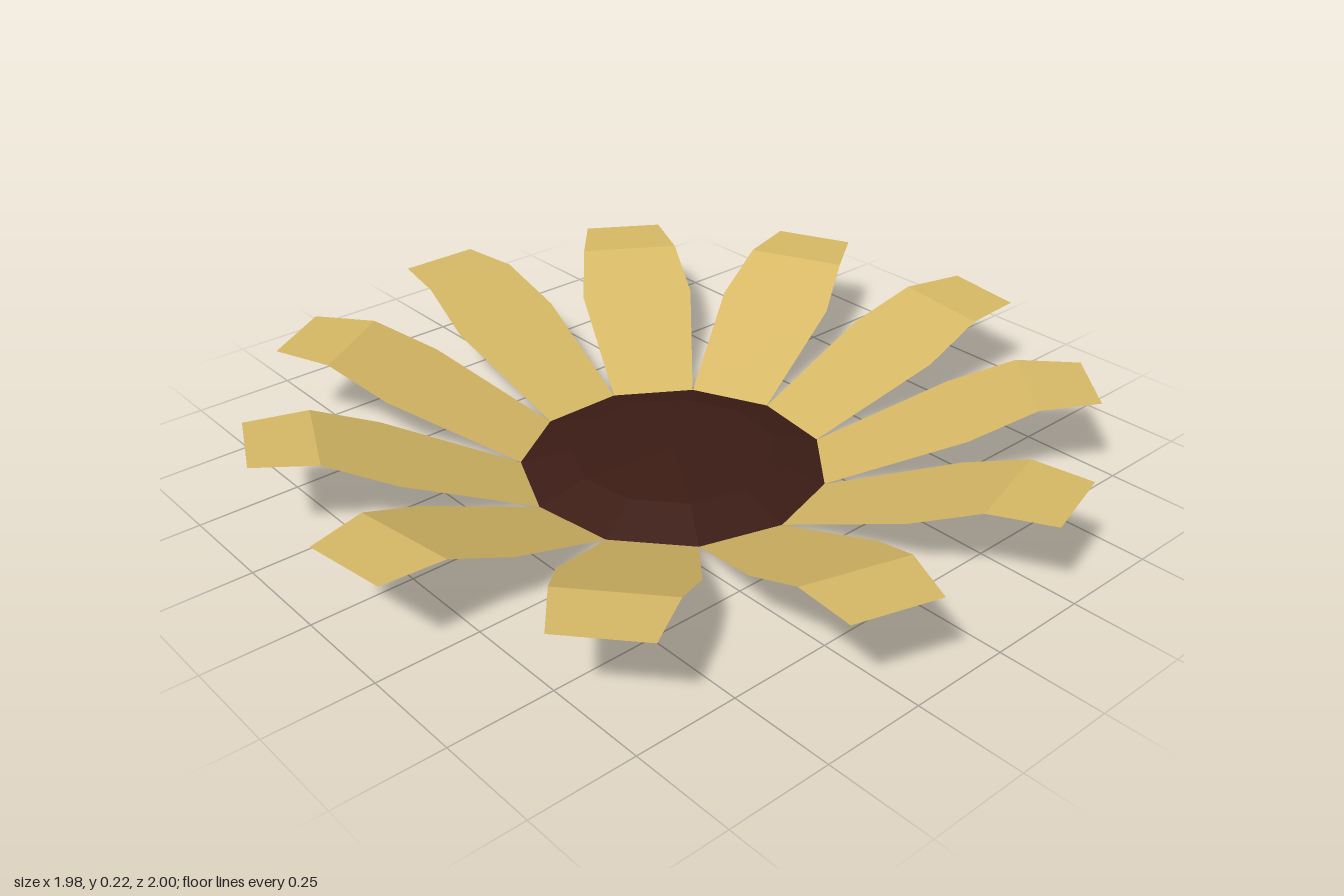
import * as THREE from 'three';

const COUNT = 11;
const CENTRE_X = 0.003;

// One petal pointing along +x: cross-sections of [distance, half width, height]
function petalGeometry() {
  const rows = [
    [0.359, 0.105, 0],
    [0.68, 0.15, 0.14],
    [0.84, 0.13, 0.21],
    [0.993, 0.104, 0.215],
  ];
  const positions = [];
  const index = [];
  rows.forEach(([r, w, y], i) => {
    positions.push(r, y, w, r, y, -w);
    if (i > 0) {
      const a = (i - 1) * 2;
      index.push(a, a + 2, a + 1, a + 1, a + 2, a + 3);
    }
  });
  const geometry = new THREE.BufferGeometry();
  geometry.setAttribute('position', new THREE.Float32BufferAttribute(positions, 3));
  geometry.setIndex(index);
  const flat = geometry.toNonIndexed();
  flat.computeVertexNormals();
  return flat;
}

export function createModel() {
  const group = new THREE.Group();
  group.name = 'flower';

  const petalMaterial = new THREE.MeshStandardMaterial({
    color: 0xd6b865, flatShading: true, side: THREE.DoubleSide,
  });
  const discMaterial = new THREE.MeshStandardMaterial({
    color: 0x3c1c15, flatShading: true, side: THREE.DoubleSide,
  });

  // Shallow domed centre, open underneath, with a corner on +x
  const profile = [[0.374, 0], [0.25, 0.036], [0, 0.042]].map(([r, y]) => new THREE.Vector2(r, y));
  const disc = new THREE.Mesh(new THREE.LatheGeometry(profile, COUNT, Math.PI / 2), discMaterial);
  disc.name = 'seedDisc';
  group.add(disc);

  // A petal on each edge of the centre
  const geometry = petalGeometry();
  const petals = new THREE.Group();
  petals.name = 'petals';
  for (let i = 0; i < COUNT; i++) {
    const petal = new THREE.Mesh(geometry, petalMaterial);
    petal.name = `petal${i + 1}`;
    petal.rotation.y = ((i + 0.5) / COUNT) * Math.PI * 2;
    petals.add(petal);
  }
  group.add(petals);

  disc.position.x = petals.position.x = CENTRE_X;
  return group;
}
